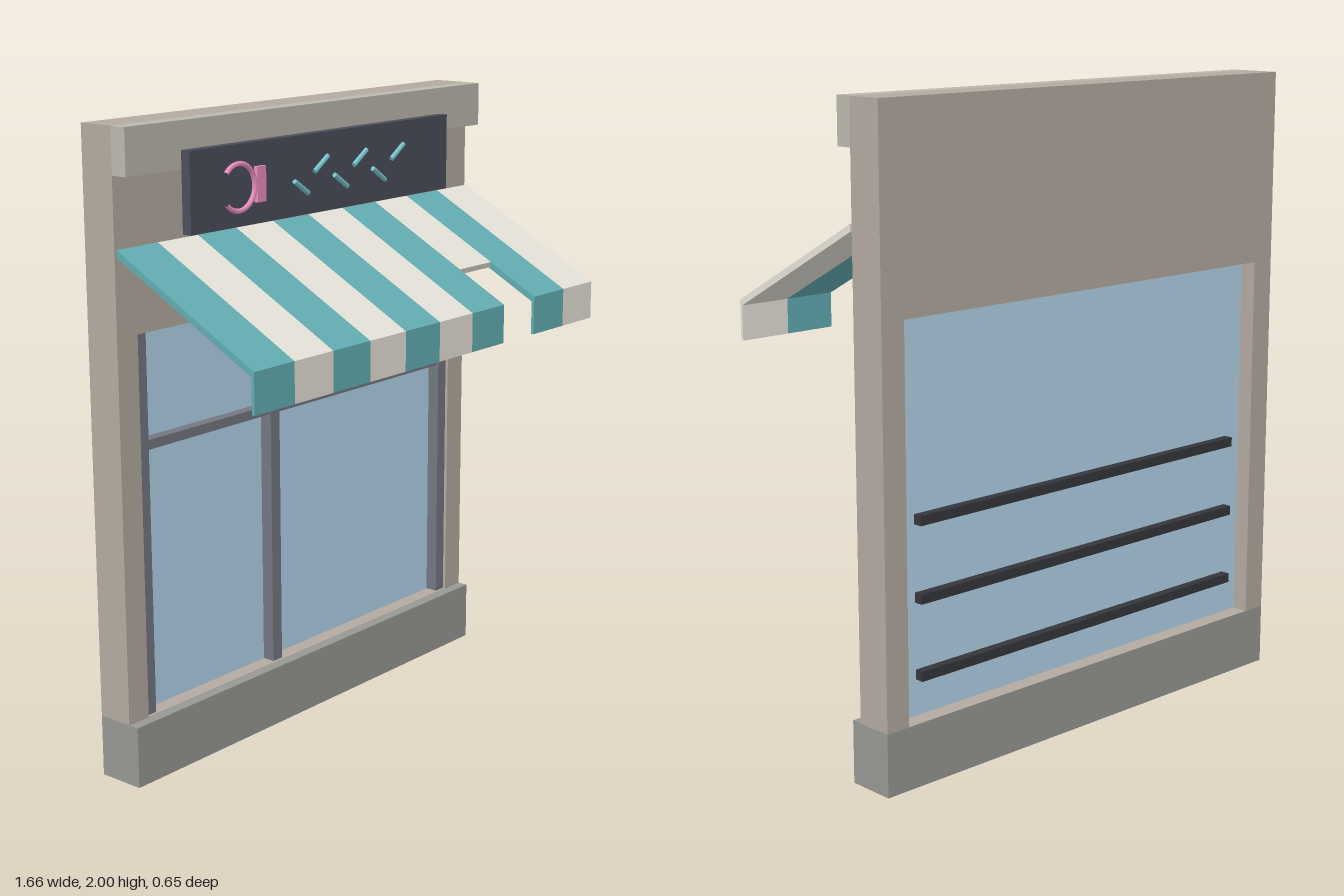
import * as THREE from 'three';

const mat = (color, extra = {}) => {
  const m = new THREE.MeshStandardMaterial(extra);
  m.color.set(color);
  return m;
};

const WALL = mat(0xb3aaa0), TRIM = mat(0xbab7ad), BASE = mat(0x979793);
const GLASS = mat(0xb2d3e8), FRAME = mat(0x747781), BAR = mat(0x35363b);
const SIGN = mat(0x4b4d5a), PINK = mat(0xe88dbd), MINT = mat(0x74c2c8);
const TEAL = mat(0x62adb3), CREAM = mat(0xe6e3d9);

export function createModel() {
  const model = new THREE.Group();
  model.name = 'shopfront';

  const add = (name, geometry, material, parent = model) => {
    const mesh = new THREE.Mesh(geometry, material);
    mesh.name = name;
    parent.add(mesh);
    return mesh;
  };
  // Box given by its extents on each axis
  const box = (name, material, [x0, x1], [y0, y1], [z0, z1], parent) => {
    const mesh = add(name, new THREE.BoxGeometry(x1 - x0, y1 - y0, z1 - z0), material, parent);
    mesh.position.set((x0 + x1) / 2, (y0 + y1) / 2, (z0 + z1) / 2);
    return mesh;
  };

  const W = 0.832, BACK = -0.325, FACE = -0.205;

  // Wall with window opening, standing on the base
  const outline = new THREE.Shape([[-W, 0.195], [W, 0.195], [W, 2], [-W, 2]].map(p => new THREE.Vector2(...p)));
  outline.holes.push(new THREE.Path([[-0.75, 0.196], [-0.75, 1.39], [0.75, 1.39], [0.75, 0.196]].map(p => new THREE.Vector2(...p))));
  add('wall', new THREE.ExtrudeGeometry(outline, { depth: FACE - BACK, bevelEnabled: false }), WALL).position.z = BACK;
  box('base', BASE, [-W, W], [0, 0.195], [BACK, -0.17]);
  box('cornice', TRIM, [-W, W], [1.86, 2], [FACE, -0.15]);

  // Window: pane, frame posts and transom
  const win = new THREE.Group();
  win.name = 'window';
  model.add(win);
  box('glass', GLASS, [-0.75, 0.75], [0.195, 1.39], [-0.272, -0.257], win);
  for (const [x0, x1] of [[-0.75, -0.708], [-0.168, -0.126], [0.708, 0.75]])
    box('framePost', FRAME, [x0, x1], [0.195, 1.39], [-0.257, -0.215], win);
  for (const [x0, x1] of [[-0.708, -0.168], [-0.126, 0.708]])
    box('transom', FRAME, [x0, x1], [1.03, 1.06], [-0.257, -0.22], win);

  // Security bars behind the pane
  for (const y of [0.325, 0.56, 0.795])
    box('rearBar', BAR, [-0.68, 0.68], [y - 0.015, y + 0.015], [-0.305, -0.275], win);

  // Striped awning: each stripe is a side profile extruded along x
  const awning = new THREE.Group();
  awning.name = 'awning';
  model.add(awning);
  const slopeY = z => 1.65 - (z + 0.19) * (0.275 / 0.515);
  const stripeWidth = 2 * W / 10, T = 0.022;
  const full = [
    [-0.197, slopeY(-0.19)], [-0.197, slopeY(-0.19) - T], [0.315, slopeY(0.315) - T],
    [0.315, 1.252], [0.325, 1.252], [0.325, slopeY(0.325)],
  ];
  // The torn stripe stops early and has no valance
  const torn = [
    [-0.197, slopeY(-0.19)], [-0.197, slopeY(-0.19) - T],
    [0.145, slopeY(0.145) - T], [0.152, slopeY(0.152)],
  ];
  for (let i = 0; i < 10; i++) {
    const profile = new THREE.Shape((i === 7 ? torn : full).map(([z, y]) => new THREE.Vector2(-z, y)));
    const g = new THREE.ExtrudeGeometry(profile, { depth: stripeWidth, bevelEnabled: false });
    g.rotateY(Math.PI / 2);
    add('awningStripe', g, i % 2 ? CREAM : TEAL, awning).position.x = -W + i * stripeWidth;
  }

  // Sign board with cup-like ring and slanted sticks
  const sign = new THREE.Group();
  sign.name = 'sign';
  model.add(sign);
  box('signBoard', SIGN, [-0.61, 0.61], [1.67, 1.915], [-0.15, -0.117], sign);
  const ring = add('signRing', new THREE.TorusGeometry(0.07, 0.008, 8, 28, Math.PI * 1.55), PINK, sign);
  ring.position.set(-0.42, 1.79, -0.103);
  ring.rotation.z = -Math.PI * 0.775;
  box('signTab', PINK, [-0.345, -0.307], [1.737, 1.844], [-0.11, -0.096], sign);
  for (let i = 0; i < 6; i++) {
    const up = i % 2;
    const stick = add('signStick', new THREE.CylinderGeometry(0.008, 0.008, 0.076, 10), MINT, sign);
    stick.position.set(-0.14 + i * 0.094, up ? 1.822 : 1.759, -0.103);
    stick.rotation.z = THREE.MathUtils.degToRad(up ? -56 : 56);
  }

  return model;
}
